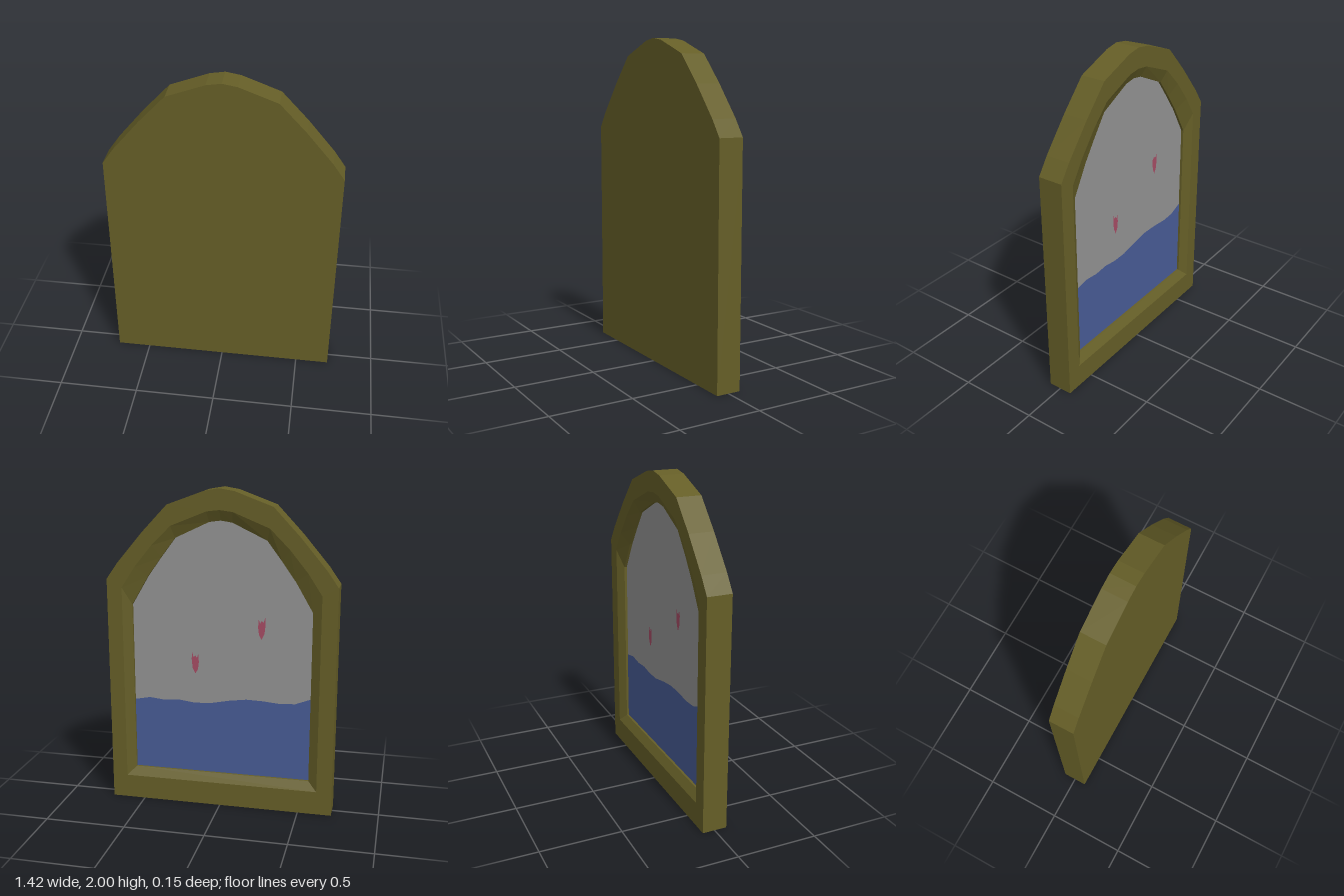
import * as THREE from 'three';

const frameMat = new THREE.MeshStandardMaterial({ color: 0x655e27 });
frameMat.name = 'olive wood';
const skyMat = new THREE.MeshStandardMaterial({ color: 0x929292 });
skyMat.name = 'grey sky';
const seaMat = new THREE.MeshStandardMaterial({ color: 0x485b95 });
seaMat.name = 'blue sea';
const redMat = new THREE.MeshStandardMaterial({ color: 0xa54b63 });
redMat.name = 'red marks';

// Right half of each arch, from bottom corner to apex
const OUTER = [[0.71, 0], [0.71, 1.44], [0.64, 1.54], [0.48, 1.73], [0.32, 1.9], [0.09, 1.985], [0, 2]];
const BEVEL = [[0.615, 0.15], [0.615, 1.39], [0.53, 1.52], [0.42, 1.655], [0.3, 1.775], [0.08, 1.865], [0, 1.875]];
const INNER = [[0.56, 0.205], [0.56, 1.28], [0.455, 1.46], [0.37, 1.58], [0.28, 1.7], [0.07, 1.8], [0, 1.81]];

// Whole outline, counter-clockwise seen from the front
function mirrored(half) {
  return [...half, ...half.slice(0, -1).reverse().map(([x, y]) => [-x, y])];
}

// Faceted skin through a list of [outline, z] rings
function loft(rings) {
  const pos = [];
  for (let r = 0; r < rings.length - 1; r++) {
    const [a, za] = rings[r], [b, zb] = rings[r + 1];
    a.forEach((_, i) => {
      const j = (i + 1) % a.length;
      const ai = [...a[i], za], aj = [...a[j], za], bi = [...b[i], zb], bj = [...b[j], zb];
      pos.push(...ai, ...bi, ...bj, ...ai, ...bj, ...aj);
    });
  }
  const g = new THREE.BufferGeometry();
  g.setAttribute('position', new THREE.Float32BufferAttribute(pos, 3));
  g.computeVertexNormals();
  return g;
}

const flat = (pts) => new THREE.ShapeGeometry(new THREE.Shape(pts.map(([x, y]) => new THREE.Vector2(x, y))));

// Flat plate that faces the back
function backPlate(name, pts, z, mat) {
  const g = flat(pts.map(([x, y]) => [-x, y])).rotateY(Math.PI).translate(0, 0, z);
  const m = new THREE.Mesh(g, mat);
  m.name = name;
  return m;
}

export function createModel() {
  const group = new THREE.Group();
  group.name = 'archedPicture';
  const outer = mirrored(OUTER), bevel = mirrored(BEVEL), inner = mirrored(INNER);

  // Frame: sides, flat border, sloped bevel and inner lip
  const frame = new THREE.Mesh(
    loft([[outer, 0.077], [outer, -0.077], [bevel, -0.077], [inner, -0.043], [inner, -0.025]]), frameMat);
  frame.name = 'frame';
  group.add(frame);

  // Plain panel closing the front
  const panel = new THREE.Mesh(flat(outer).translate(0, 0, 0.077), frameMat);
  panel.name = 'frontPanel';
  group.add(panel);

  // Painted picture
  group.add(backPlate('sky', inner, -0.027, skyMat));

  const waves = [[0.56, 0.66], [0.464, 0.679], [0.364, 0.668], [0.271, 0.676], [0.178, 0.664], [0.078, 0.666],
    [-0.05, 0.692], [-0.158, 0.707], [-0.265, 0.704], [-0.372, 0.694], [-0.465, 0.7], [-0.56, 0.737]];
  group.add(backPlate('sea', [[-0.56, 0.205], [0.56, 0.205], ...waves], -0.029, seaMat));

  // Small ragged marks
  const mark = [[0, -0.072], [-0.016, -0.04], [-0.022, 0.005], [-0.018, 0.055], [-0.01, 0.03], [0, 0.045],
    [0.012, 0.035], [0.022, 0.07], [0.024, 0.02], [0.018, -0.035]];
  for (const [name, x, y, s] of [['leftMark', 0.164, 0.927, 1], ['rightMark', -0.25, 1.167, -1]]) {
    group.add(backPlate(name, mark.map(([u, v]) => [x + u * s, y + v]), -0.029, redMat));
  }
  return group;
}
